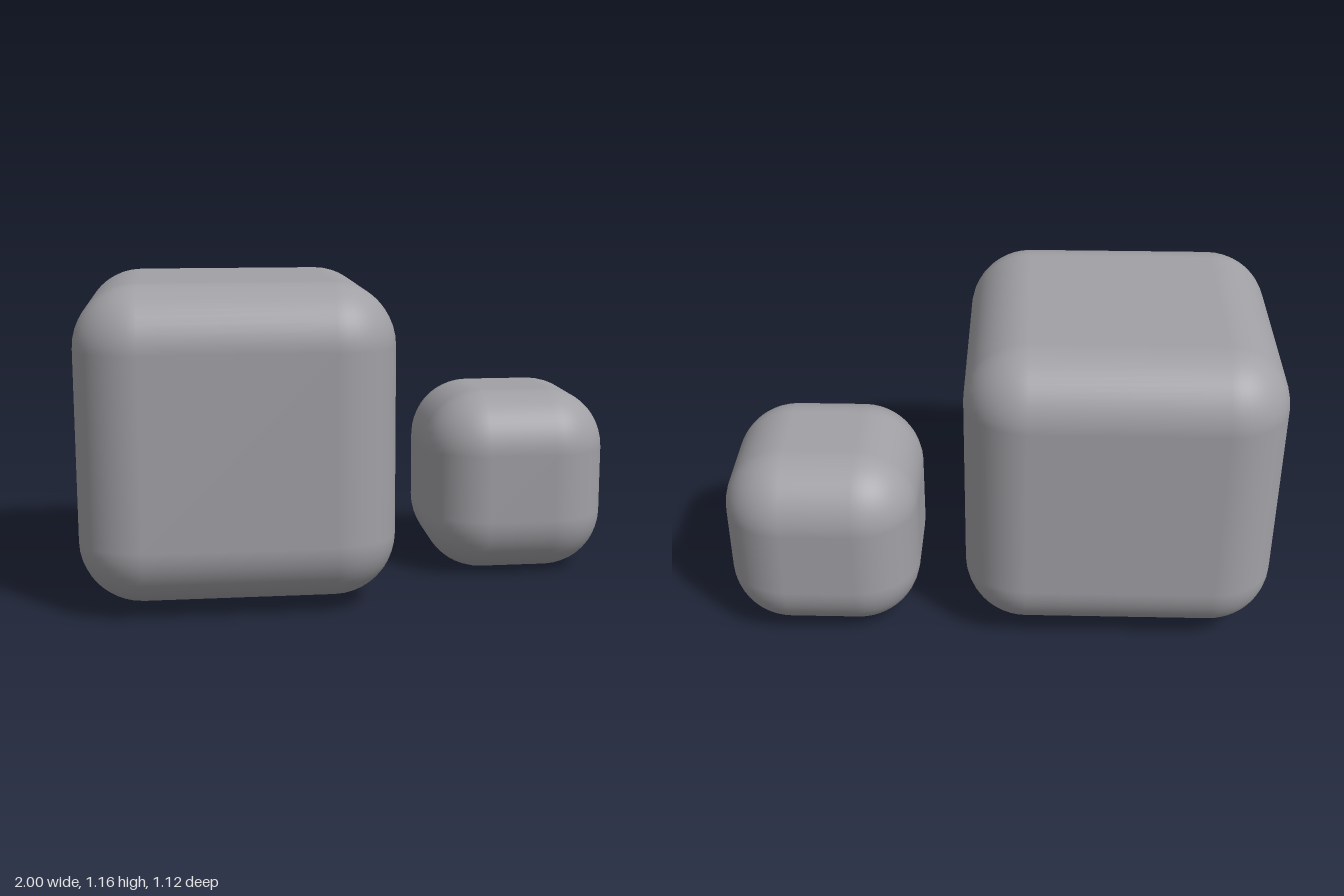
import * as THREE from 'three';
import { RoundedBoxGeometry } from 'three/addons/geometries/RoundedBoxGeometry.js';

const EDGE_RADIUS = 0.225;

export function createModel() {
  const model = new THREE.Group();
  model.name = 'roundedCubes';
  const material = new THREE.MeshStandardMaterial({ color: 0xa1a0a5 });

  // A cube with softly rounded edges, placed by its centre
  function addCube(name, size, x, y, z) {
    const geometry = new RoundedBoxGeometry(size, size, size, 6, EDGE_RADIUS);
    const cube = new THREE.Mesh(geometry, material);
    cube.name = name;
    cube.position.set(x, y, z);
    model.add(cube);
  }

  // Large cube floats slightly above the small one's base
  addCube('largeCube', 1.125, -0.4375, 0.5985, 0);
  addCube('smallCube', 0.703, 0.6485, 0.3515, -0.195);

  return model;
}
